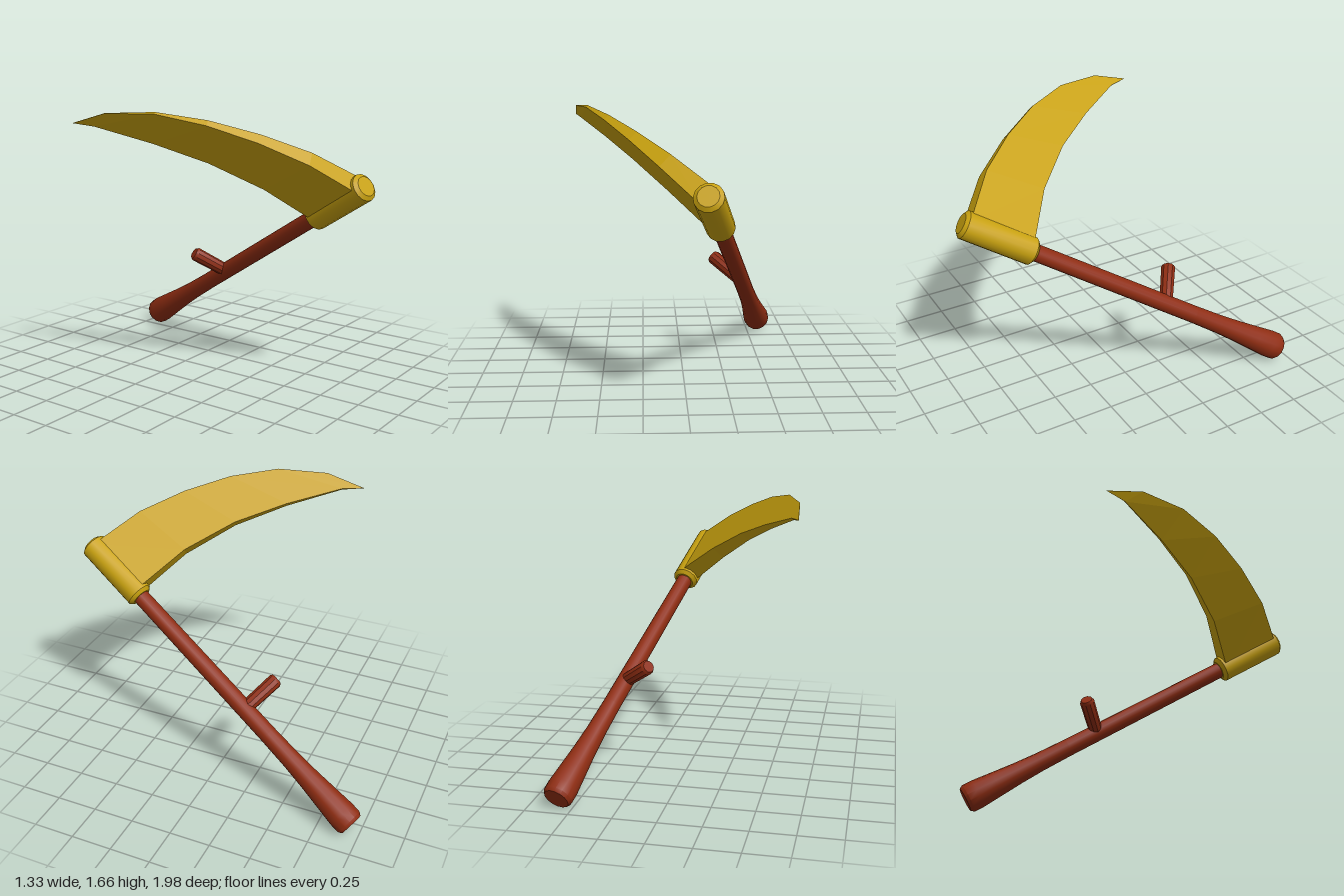
import * as THREE from 'three';
import { toCreasedNormals } from 'three/addons/utils/BufferGeometryUtils.js';

const gold = new THREE.MeshStandardMaterial({ color: 0xc9a20f });
const wood = new THREE.MeshStandardMaterial({ color: 0x8f2d12 });

// Turned part from [radius, height] pairs, bottom to top
function turned(name, profile, material, sides) {
  const points = profile.map(([r, y]) => new THREE.Vector2(r, y));
  const geometry = toCreasedNormals(new THREE.LatheGeometry(points, sides), 0.6);
  const mesh = new THREE.Mesh(geometry, material);
  mesh.name = name;
  return mesh;
}

// Curved blade: flat on one face, thinning towards the tip.
// Each section: spine [x, y], inner edge [x, y], z of the thinning face
function blade() {
  const flat = 0.062;
  const sections = [
    [[0, -0.03], [0, -0.425], -0.055],
    [[0.346, -0.067], [0.384, -0.439], -0.03],
    [[0.633, -0.158], [0.725, -0.52], -0.003],
    [[0.904, -0.283], [1.033, -0.65], 0.022],
    [[1.149, -0.45], [1.343, -0.812], 0.046],
    [[1.349, -0.678], [1.443, -0.902], 0.06],
  ];
  const rings = sections.map(([s, a, z]) => [[...s, flat], [...a, flat], [...a, z], [...s, z]]);
  const positions = [];
  const quad = (a, b, c, d) => positions.push(...a, ...b, ...c, ...a, ...c, ...d);
  for (let i = 0; i < rings.length - 1; i++) {
    for (let j = 0; j < 4; j++) {
      const k = (j + 1) % 4;
      quad(rings[i][j], rings[i][k], rings[i + 1][k], rings[i + 1][j]);
    }
  }
  quad(...rings[rings.length - 1]);
  const geometry = new THREE.BufferGeometry();
  geometry.setAttribute('position', new THREE.Float32BufferAttribute(positions, 3));
  geometry.computeVertexNormals();
  const mesh = new THREE.Mesh(geometry, gold);
  mesh.name = 'blade';
  return mesh;
}

export function createModel() {
  const scythe = new THREE.Group();
  scythe.name = 'scythe';

  // Long handle, flared at the butt
  scythe.add(turned('handle', [
    [0, -2.3], [0.074, -2.3], [0.087, -2.28], [0.088, -2.22], [0.078, -2.1],
    [0.066, -1.95], [0.058, -1.8], [0.054, -1.6], [0.05, -0.4], [0, -0.4],
  ], wood, 14));

  // Socket that holds the blade, chamfered at both ends
  scythe.add(turned('socket', [
    [0, -0.465], [0.06, -0.465], [0.083, -0.445], [0.083, -0.018], [0.06, 0], [0, 0],
  ], gold, 14));

  scythe.add(blade());

  // Side grip, square to the handle
  const grip = turned('grip', [
    [0, 0], [0.042, 0], [0.045, 0.245], [0.036, 0.26], [0, 0.26],
  ], wood, 10);
  grip.rotation.z = -Math.PI / 2;
  grip.position.y = -1.394;
  scythe.add(grip);

  // Lean the tool: local y runs up the handle, local x along the grip
  const up = new THREE.Vector3(-0.213, 0.518, 0.829).normalize();
  const out = new THREE.Vector3(-0.691, 0.52, -0.502);
  const side = new THREE.Vector3().crossVectors(out, up).normalize();
  out.crossVectors(up, side);
  scythe.quaternion.setFromRotationMatrix(new THREE.Matrix4().makeBasis(out, up, side));
  scythe.position.set(0.09, 1.27, 0.955);

  const model = new THREE.Group();
  model.add(scythe);
  return model;
}
